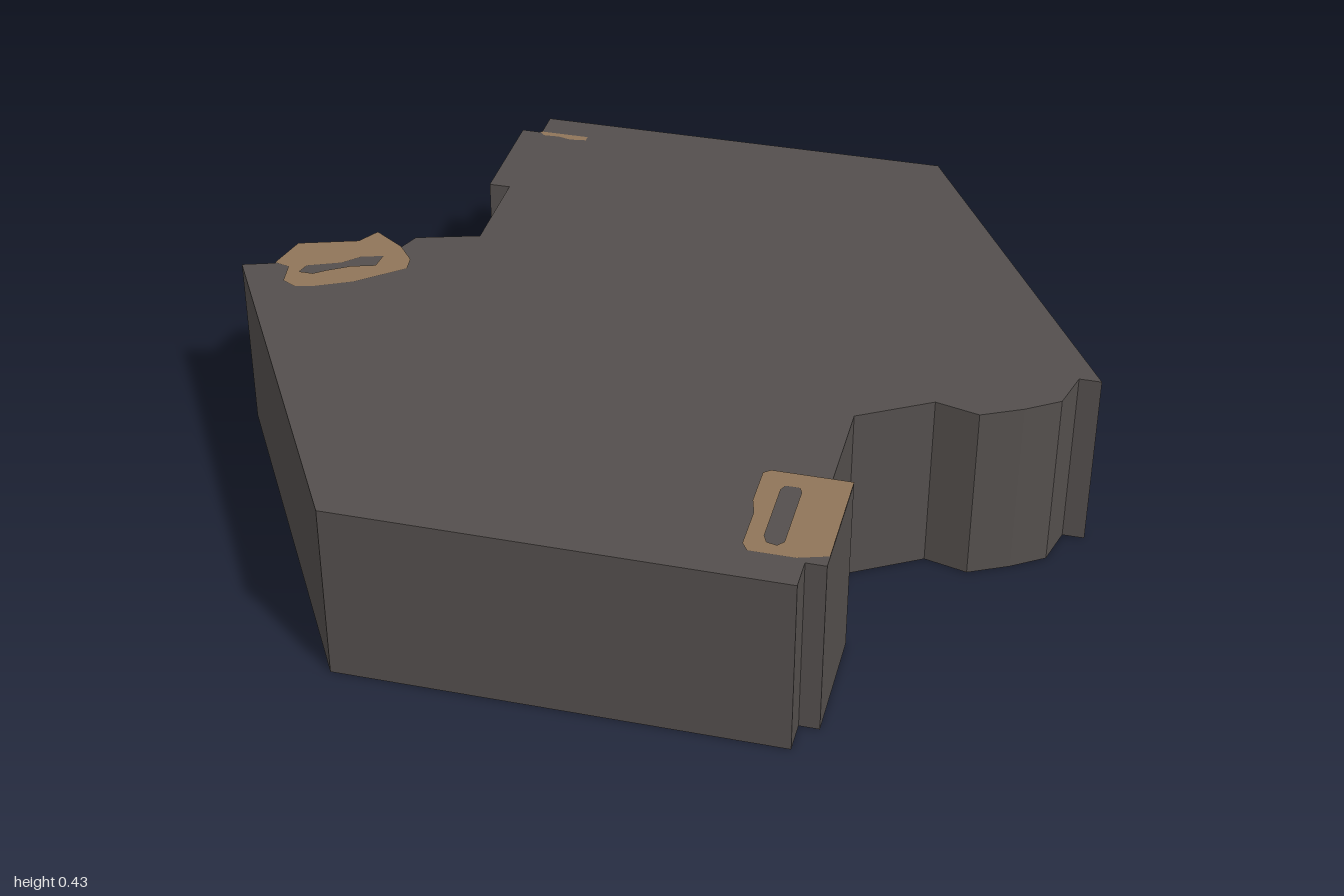
import * as THREE from 'three';

const HEIGHT = 0.428;

// Outline as seen from above, [x, z]: a hexagon with two notched sides
const OUTLINE = [
  [-0.5, -0.86], [0.5, -0.86], [1, 0], [0.95, 0], [0.925, 0.095], [0.85, 0.145],
  [0.76, 0.19], [0.66, 0.165], [0.5, 0.26], [0.5, 0.5], [0.545, 0.5], [0.545, 0.785],
  [0.5, 0.785], [0.5, 0.86], [-0.5, 0.86], [-1, 0], [-0.927, -0.025], [-0.905, -0.12],
  [-0.77, -0.165], [-0.74, -0.215], [-0.665, -0.165], [-0.645, -0.215], [-0.5, -0.26],
  [-0.5, -0.5], [-0.55, -0.5], [-0.55, -0.785], [-0.5, -0.785],
];

// Painted patches, each with an optional slot left open
const PATCHES = [
  {
    name: 'frontPatch',
    outline: [[0.37, 0.498], [0.545, 0.498], [0.545, 0.755], [0.48, 0.776], [0.38, 0.776],
      [0.366, 0.755], [0.366, 0.65], [0.355, 0.61], [0.355, 0.51]],
    slot: [[0.41, 0.545], [0.44, 0.545], [0.447, 0.56], [0.447, 0.73], [0.435, 0.745],
      [0.412, 0.74], [0.403, 0.72], [0.403, 0.56]],
  },
  {
    name: 'sidePatch',
    outline: [[-0.927, -0.025], [-0.905, -0.12], [-0.77, -0.165], [-0.74, -0.215],
      [-0.665, -0.165], [-0.625, -0.115], [-0.62, -0.075], [-0.72, 0.01], [-0.8, 0.05],
      [-0.845, 0.063], [-0.88, 0.045], [-0.89, -0.015]],
    slot: [[-0.858, 0], [-0.85, -0.03], [-0.775, -0.062], [-0.74, -0.098], [-0.692, -0.113],
      [-0.695, -0.07], [-0.75, -0.052], [-0.8, -0.02], [-0.825, 0]],
  },
  {
    name: 'backPatch',
    outline: [[-0.505, -0.785], [-0.38, -0.785], [-0.38, -0.768], [-0.42, -0.762],
      [-0.45, -0.77], [-0.49, -0.768]],
  },
];

const toVectors = (points) => points.map(([x, z]) => new THREE.Vector2(x, -z));

// Flat horizontal sheet at height y
function sheet(outline, y, hole) {
  const shape = new THREE.Shape(toVectors(outline));
  if (hole) shape.holes.push(new THREE.Path(toVectors(hole)));
  return new THREE.ShapeGeometry(shape).rotateX(-Math.PI / 2).translate(0, y, 0);
}

// One upright quad for each outline edge
function wallGeometry(outline, height) {
  const positions = [];
  outline.forEach(([ax, az], i) => {
    const [bx, bz] = outline[(i + 1) % outline.length];
    positions.push(ax, 0, az, ax, height, az, bx, height, bz);
    positions.push(ax, 0, az, bx, height, bz, bx, 0, bz);
  });
  const geometry = new THREE.BufferGeometry();
  geometry.setAttribute('position', new THREE.Float32BufferAttribute(positions, 3));
  geometry.computeVertexNormals();
  return geometry;
}

export function createModel() {
  const stone = new THREE.MeshStandardMaterial({ color: 0x544f4d, side: THREE.DoubleSide });
  stone.name = 'dark stone';
  const tan = new THREE.MeshStandardMaterial({ color: 0x8f7559, side: THREE.DoubleSide });
  tan.name = 'tan';

  const group = new THREE.Group();
  group.name = 'hexTile';
  const add = (name, geometry, material) => {
    const mesh = new THREE.Mesh(geometry, material);
    mesh.name = name;
    group.add(mesh);
  };

  // Hollow shell, open underneath
  add('topPlate', sheet(OUTLINE, HEIGHT), stone);
  add('walls', wallGeometry(OUTLINE, HEIGHT), stone);

  // Patches show on both faces of the top plate
  for (const { name, outline, slot } of PATCHES) {
    add(name, sheet(outline, HEIGHT + 0.002, slot), tan);
    add(name + 'Underside', sheet(outline, HEIGHT - 0.002, slot), tan);
  }
  return group;
}
